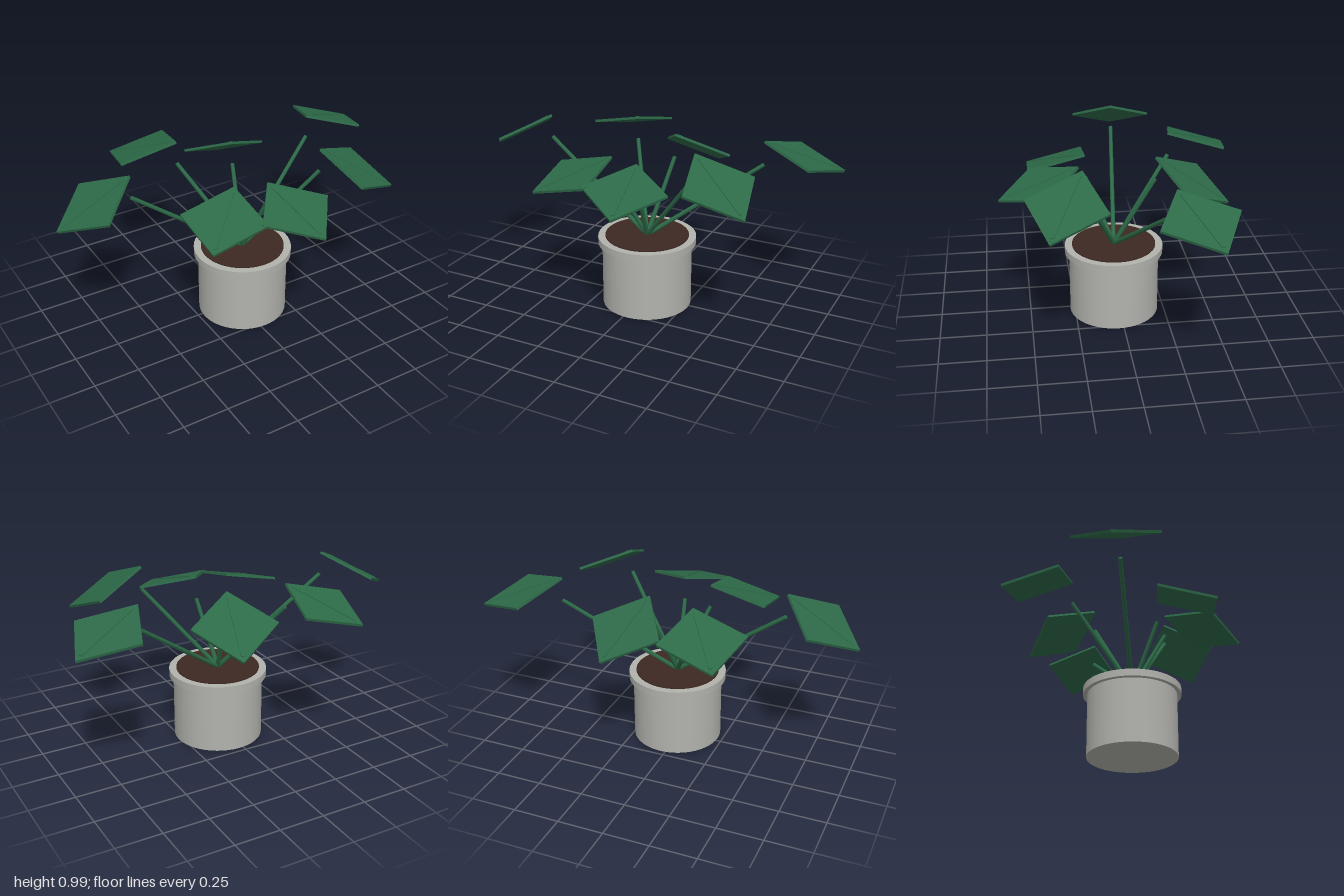
import * as THREE from 'three';

const green = new THREE.MeshStandardMaterial({ color: 0x2d6a48 });
green.name = 'leafGreen';
const grey = new THREE.MeshStandardMaterial({ color: 0xb2b2ad });
grey.name = 'potGrey';
const brown = new THREE.MeshStandardMaterial({ color: 0x3e2822 });
brown.name = 'soilBrown';

function mesh(name, geometry, material, parent) {
  const m = new THREE.Mesh(geometry, material);
  m.name = name;
  parent.add(m);
  return m;
}

// Upright cylinder between two heights
function disc(name, radius, y0, y1, material, parent) {
  const m = mesh(name, new THREE.CylinderGeometry(radius, radius, y1 - y0, 48), material, parent);
  m.position.y = (y0 + y1) / 2;
}

// Each leaf: angle from +x towards +z (degrees), inner and outer radius, inner and outer height
const LEAVES = [
  [28.7, 0.408, 0.802, 0.985, 0.76],
  [80.3, 0.190, 0.628, 0.875, 0.735],
  [134.5, 0.197, 0.630, 0.875, 0.73],
  [185.4, 0.628, 1.028, 0.985, 0.76],
  [236.3, 0.399, 0.826, 0.95, 0.80],
  [286.7, 0.224, 0.622, 0.925, 0.69],
  [337.5, 0.622, 1.044, 0.95, 0.80],
];

const leafGeometry = new THREE.BoxGeometry(0.323, 0.014, 0.323).rotateY(Math.PI / 4);
const ribGeometry = new THREE.BoxGeometry(0.38, 0.012, 0.018);

function addStemAndLeaf([angle, r0, r1, y0, y1], parent) {
  const arm = new THREE.Group();
  arm.name = 'stemAndLeaf';
  arm.rotation.y = -THREE.MathUtils.degToRad(angle);
  parent.add(arm);

  // Straight stem from the soil to just under the leaf's inner corner
  const rise = y0 - 0.125 - 0.4;
  const stem = mesh('stem', new THREE.CylinderGeometry(0.011, 0.013, Math.hypot(r0, rise), 8), green, arm);
  stem.position.set(r0 / 2, 0.4 + rise / 2, 0);
  stem.rotation.z = -Math.atan2(r0, rise);

  // Flat diamond blade with a raised midrib, drooping outwards
  const leaf = new THREE.Group();
  leaf.name = 'leaf';
  leaf.position.set((r0 + r1) / 2, (y0 + y1) / 2, 0);
  leaf.rotation.z = -Math.atan2(y0 - y1, r1 - r0);
  arm.add(leaf);
  mesh('blade', leafGeometry, green, leaf);
  mesh('midrib', ribGeometry, green, leaf).position.y = 0.005;
}

export function createModel() {
  const model = new THREE.Group();
  model.name = 'pottedPlant';
  const plant = new THREE.Group();
  plant.name = 'plant';
  plant.position.set(0.025, 0, 0.028);
  model.add(plant);

  // Pot
  disc('potBody', 0.248, 0, 0.38, grey, plant);
  disc('potRim', 0.271, 0.36, 0.4, grey, plant);
  disc('soil', 0.231, 0.37, 0.406, brown, plant);

  // Foliage
  for (const leaf of LEAVES) addStemAndLeaf(leaf, plant);
  return model;
}
